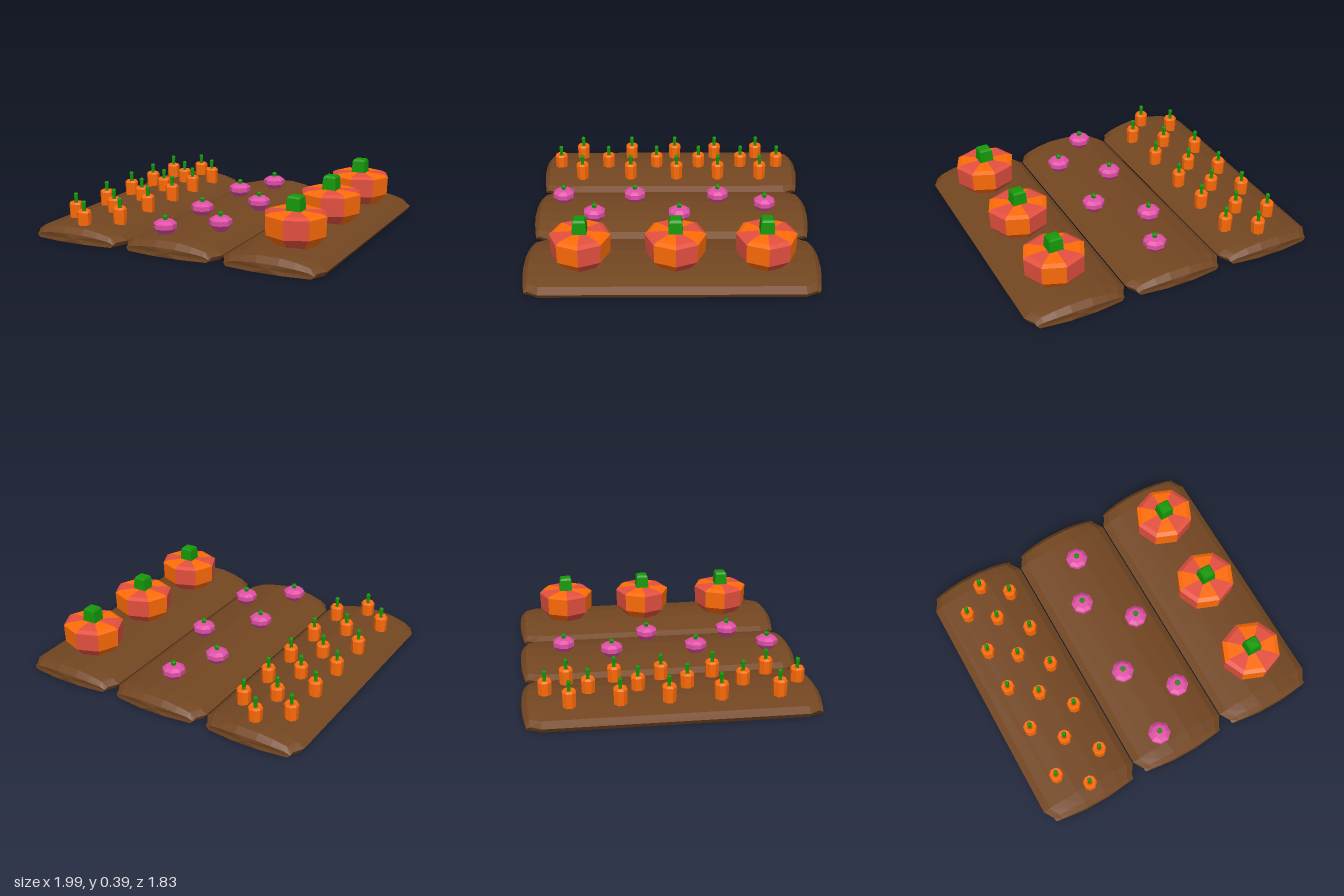
import * as THREE from 'three';

const mat = (color) => new THREE.MeshStandardMaterial({ color, flatShading: true });
const soil = mat(0x734621), orange = mat(0xff6c08), red = mat(0xe4503f);
const pink = mat(0xe050a6), green = mat(0x159808);

function lathe(points, name, material, sides = 8, start = Math.PI / 8, sweep = Math.PI * 2) {
  const profile = points.map(([r, y]) => new THREE.Vector2(r, y));
  const mesh = new THREE.Mesh(new THREE.LatheGeometry(profile, sides, start, sweep), material);
  mesh.name = name;
  return mesh;
}

// Long soil mound: one cross-section lofted along z, with narrowed, rounded ends
function bedGeometry() {
  const section = [[0.31, 0], [0.33, 0.03], [0.285, 0.06], [0.19, 0.082], [0.08, 0.097]];
  const loop = [...section, ...section.map(([x, y]) => [-x, y]).reverse(), [-0.1, 0], [0.1, 0]];
  // z, width scale, height scale, how far the middle bulges outward
  const half = [[0.8, 1, 1, 0], [0.865, 0.88, 0.97, 0.016], [0.888, 0.87, 0.6, 0.027]];
  const rings = [
    ...half.map(([z, ...r]) => [-z, ...r]).reverse(),
    ...half,
  ];
  const pos = [], index = [], n = loop.length;
  for (const [z, w, h, bulge] of rings) {
    for (const [x, y] of loop) {
      pos.push(x * w, y * h, z + Math.sign(z) * bulge * (1 - (x / 0.33) ** 2));
    }
  }
  for (let r = 0; r < rings.length - 1; r++) {
    for (let i = 0; i < n; i++) {
      const a = r * n + i, b = r * n + (i + 1) % n;
      index.push(a, b, a + n, b, b + n, a + n);
    }
  }
  // End caps, fanned from a middle point
  for (const r of [0, rings.length - 1]) {
    const c = pos.length / 3, front = r > 0;
    pos.push(0, 0.03, front ? 0.917 : -0.917);
    for (let i = 0; i < n; i++) {
      const a = r * n + i, b = r * n + (i + 1) % n;
      index.push(c, front ? a : b, front ? b : a);
    }
  }
  const g = new THREE.BufferGeometry();
  g.setAttribute('position', new THREE.Float32BufferAttribute(pos, 3));
  g.setIndex(index);
  g.computeVertexNormals();
  return g;
}

function carrot() {
  const g = new THREE.Group();
  g.name = 'carrot';
  g.add(
    lathe([[0, 0.07], [0.042, 0.07], [0.046, 0.178], [0.038, 0.19], [0.022, 0.188], [0, 0.168]], 'carrotRoot', orange),
    lathe([[0.012, 0.16], [0.012, 0.205], [0.015, 0.243], [0.011, 0.25], [0, 0.25]], 'carrotStem', green, 6),
  );
  return g;
}

function turnip() {
  const g = new THREE.Group();
  g.name = 'turnip';
  g.add(
    lathe([[0, 0.08], [0.036, 0.085], [0.074, 0.13], [0.074, 0.16], [0.05, 0.177], [0, 0.182]], 'turnipRoot', pink),
    lathe([[0.014, 0.16], [0.014, 0.185], [0.018, 0.202], [0.013, 0.209], [0, 0.209]], 'turnipStem', green, 6),
  );
  return g;
}

function pumpkin() {
  const g = new THREE.Group();
  g.name = 'pumpkin';
  const profile = [[0, 0.08], [0.125, 0.08], [0.195, 0.155], [0.2, 0.275], [0.17, 0.29], [0, 0.3]];
  // Alternating coloured segments
  for (let i = 0; i < 8; i++) {
    g.add(lathe(profile, 'pumpkinSegment', i % 2 ? orange : red, 1, i * Math.PI / 4, Math.PI / 4));
  }
  // Square stem with a bevelled top
  g.add(lathe([[0.068, 0.28], [0.06, 0.372], [0.048, 0.385], [0, 0.387]], 'pumpkinStem', green, 4, Math.PI / 4));
  g.scale.z = 0.94;
  return g;
}

export function createModel() {
  const model = new THREE.Group();
  model.name = 'vegetablePatch';

  // Three soil beds side by side
  const bedShape = bedGeometry();
  for (const x of [-0.667, 0, 0.667]) {
    const bed = new THREE.Mesh(bedShape, soil);
    bed.name = 'soilBed';
    bed.position.x = x;
    model.add(bed);
  }

  const plant = (make, x, z) => {
    const p = make();
    p.position.set(x, 0, z);
    model.add(p);
  };

  // Carrots in three staggered rows
  const carrotRows = [
    [-0.817, [-0.63, -0.325, -0.03, 0.288, 0.648]],
    [-0.652, [-0.77, -0.507, -0.202, 0.103, 0.453, 0.798]],
    [-0.492, [-0.635, -0.335, -0.04, 0.288, 0.633]],
  ];
  for (const [x, zs] of carrotRows) for (const z of zs) plant(carrot, x, z);

  // Scattered turnips
  const turnips = [[0.028, -0.625], [-0.098, -0.315], [0.172, -0.052], [-0.098, 0.248], [0.17, 0.508], [-0.098, 0.733]];
  for (const [x, z] of turnips) plant(turnip, x, z);

  // Row of pumpkins
  for (const z of [-0.577, -0.022, 0.56]) plant(pumpkin, 0.697, z);

  return model;
}
